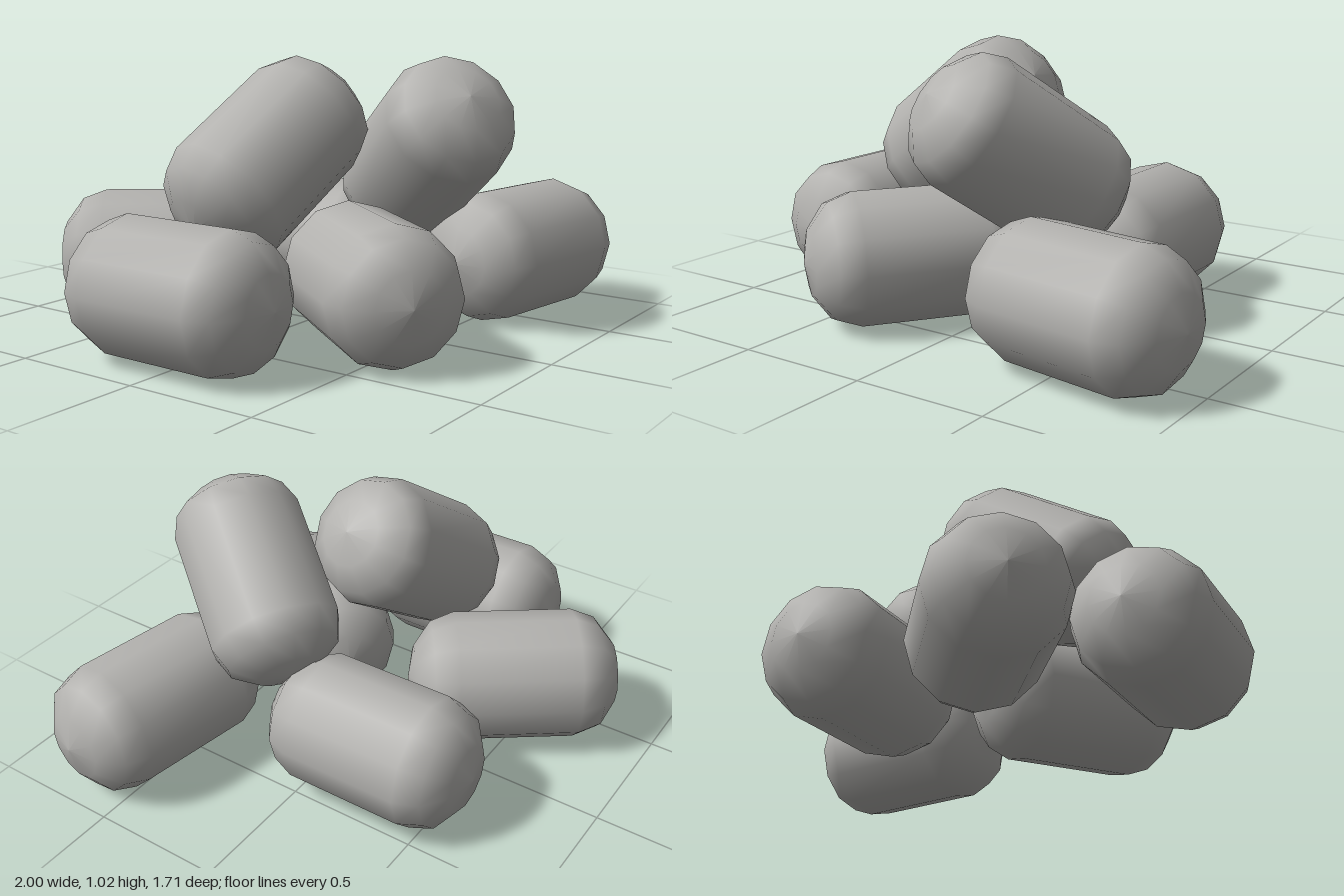
import * as THREE from 'three';

const RADIUS = 0.25;      // body radius
const HALF_BODY = 0.23;   // half length of the straight part
const CAP = 0.18;         // depth of each rounded end
const RINGS = 3;

// Profile of a twelve-sided capsule with slightly flattened ends
function capsuleGeometry() {
  const points = [];
  for (const end of [-1, 1]) {
    for (let i = 0; i <= RINGS; i++) {
      const step = end < 0 ? RINGS - i : i;
      const a = (step / RINGS) * Math.PI / 2;
      const r = step === RINGS ? 0 : RADIUS * Math.cos(a);
      points.push(new THREE.Vector2(r, end * (HALF_BODY + CAP * Math.sin(a))));
    }
  }
  return new THREE.LatheGeometry(points, 12);
}

export function createModel() {
  const group = new THREE.Group();
  group.name = 'capsulePile';
  const grey = new THREE.MeshStandardMaterial({ color: 0xb3b2af });
  grey.name = 'warm grey';
  const geometry = capsuleGeometry();

  // name, centre, direction of the long axis
  const capsules = [
    // bottom layer
    ['sideRightCapsule', [-0.75, 0.25, -0.01], [0, 0, 1]],
    ['backLeftCapsule', [0.33, 0.25, -0.245], [0, 0, 1]],
    ['backRightCapsule', [-0.297, 0.25, -0.473], [0.595, 0, 0.804]],
    ['frontRightCapsule', [-0.23, 0.25, 0.413], [-0.595, 0, 0.804]],
    ['frontLeftCapsule', [0.59, 0.25, 0.573], [0.988, 0, 0.154]],
    // two leaning on top
    ['upperRightCapsule', [-0.275, 0.66, -0.003], [0.813, 0.561, 0.155]],
    ['upperLeftCapsule', [0.208, 0.66, 0.368], [-0.437, 0.567, 0.698]],
  ];

  for (const [name, centre, [x, y, z]] of capsules) {
    const mesh = new THREE.Mesh(geometry, grey);
    mesh.name = name;
    mesh.position.set(...centre);
    // tip the upright capsule forward, then turn it
    const pitch = Math.atan2(y, Math.hypot(x, z));
    mesh.rotation.set(Math.PI / 2 - pitch, Math.atan2(x, z), 0, 'YXZ');
    group.add(mesh);
  }
  return group;
}
